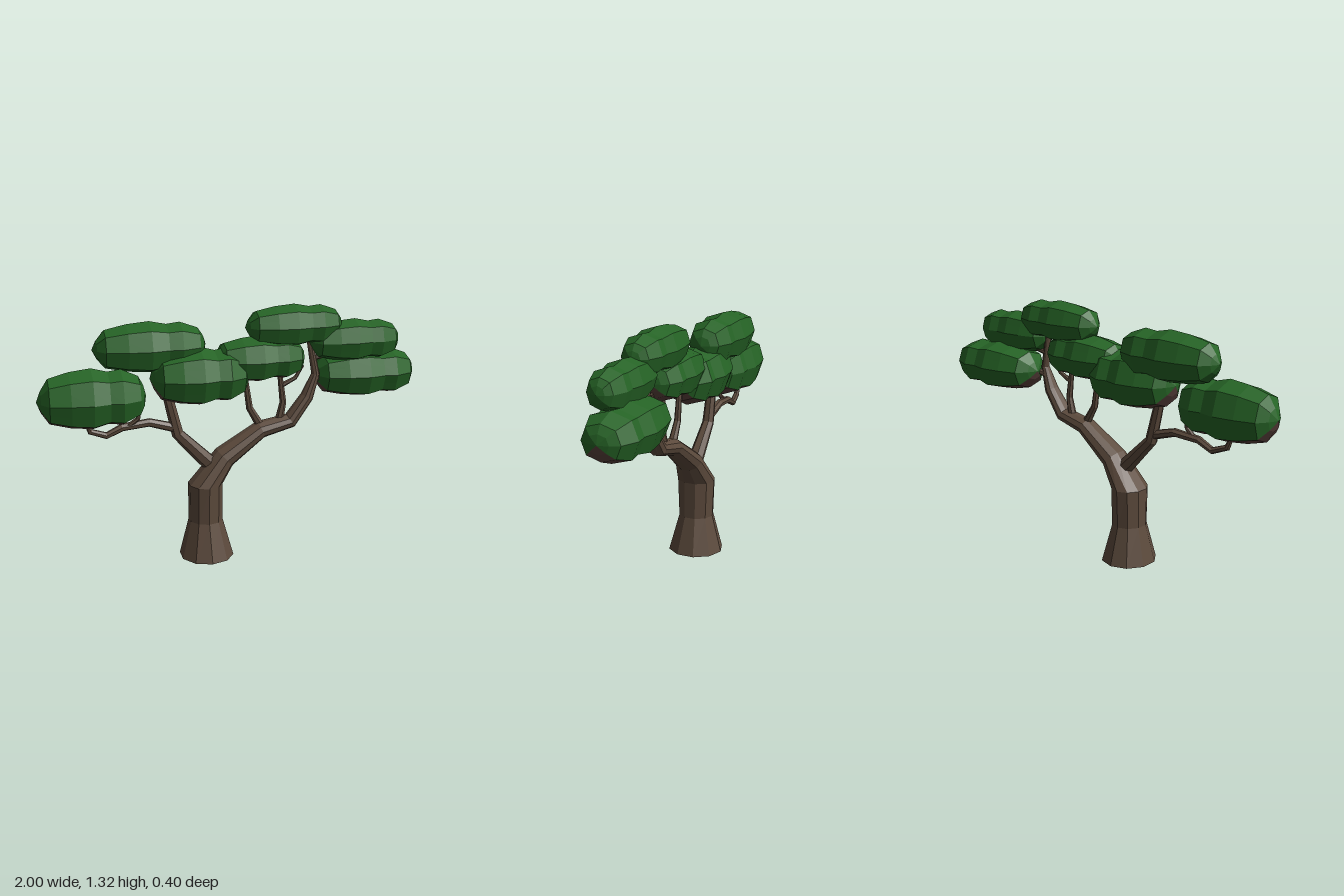
import * as THREE from 'three';

const mat = (name, color, side = THREE.FrontSide) =>
  Object.assign(new THREE.MeshStandardMaterial({ color, flatShading: true, side }), { name });

// Skin a list of equal-length closed rings; isUnder(j) sends strip j to the second material
function loft(rings, isUnder = () => false) {
  const n = rings[0].length, top = [], under = [];
  for (let i = 0; i < rings.length - 1; i++) {
    for (let j = 0; j < n; j++) {
      const k = (j + 1) % n;
      const a = i * n + j, b = i * n + k, c = a + n, d = b + n;
      (isUnder(j) ? under : top).push(a, c, b, b, c, d);
    }
  }
  const g = new THREE.BufferGeometry();
  g.setAttribute('position', new THREE.Float32BufferAttribute(rings.flat().flatMap((p) => [p.x, p.y, p.z]), 3));
  g.setIndex([...top, ...under]);
  g.addGroup(0, top.length, 0);
  if (under.length) g.addGroup(top.length, under.length, 1);
  g.computeVertexNormals();
  return g;
}

// Tapered limb through points [x, y, z, radius, depthRadius?]
function limb(points, sides, flatBelow = -1) {
  const c = points.map((p) => new THREE.Vector3(p[0], p[1], p[2]));
  const rings = points.map((p, i) => {
    const t = new THREE.Vector3();
    if (i > 0) t.add(c[i].clone().sub(c[i - 1]).normalize());
    if (i < c.length - 1) t.add(c[i + 1].clone().sub(c[i]).normalize());
    if (p[1] <= flatBelow) t.set(0, 1, 0);
    const across = new THREE.Vector3(t.y, -t.x, 0).normalize();
    return Array.from({ length: sides }, (_, j) => {
      const a = ((j + 0.5) / sides) * Math.PI * 2;
      return c[i].clone().addScaledVector(across, Math.cos(a) * p[3])
        .add(new THREE.Vector3(0, 0, Math.sin(a) * (p[4] ?? p[3])));
    });
  });
  // close the tip
  rings.push(rings[0].map(() => c[c.length - 1].clone()));
  return loft(rings);
}

// Leaf clump: lobed cross-sections strung along x
const PROFILE = [[0, 0], [0.04, 0.36], [0.11, 0.74], [0.3, 0.92], [0.5, 1],
  [0.65, 0.86], [0.77, 0.92], [0.93, 0.66], [0.975, 0.36], [1, 0]];
function clump(rx, ry, rz, brownBelow) {
  const soft = (v) => Math.sign(v) * Math.abs(v) ** 0.85;
  const rings = PROFILE.map(([u, r]) => Array.from({ length: 16 }, (_, j) => {
    const a = (j / 16) * Math.PI * 2, s = r * (j % 2 ? 0.92 : 1);
    return new THREE.Vector3((u * 2 - 1) * rx, soft(Math.sin(a)) * ry * s, soft(Math.cos(a)) * rz * s);
  }));
  return loft(rings, (j) => brownBelow && j >= 10 && j <= 13);
}

export function createModel() {
  const bark = mat('bark', 0x5c4a3c, THREE.DoubleSide);
  const leaf = mat('leaf green', 0x266426);
  const shade = mat('leaf underside brown', 0x5a423c);

  const tree = new THREE.Group();
  tree.name = 'tree';
  const add = (name, geometry, material) => {
    const m = new THREE.Mesh(geometry, material);
    m.name = name;
    tree.add(m);
    return m;
  };

  // Trunk sweeping over to the right-hand crown
  add('trunk', limb([
    [-0.15, 0, 0.015, 0.143, 0.15], [-0.153, 0.2, 0.013, 0.09, 0.095], [-0.153, 0.4, 0.013, 0.09, 0.104],
    [-0.05, 0.535, 0.012, 0.06, 0.076], [0.145, 0.67, 0.012, 0.045, 0.058], [0.305, 0.707, 0.012, 0.04, 0.05],
    [0.395, 0.83, 0.01, 0.034, 0.04], [0.44, 0.95, 0.01, 0.022], [0.405, 1.14, 0, 0.015]], 10, 0.4), bark);

  // Branches and twigs
  const branches = {
    leftBranch: [[-0.07, 0.45, 0.01, 0.045], [-0.17, 0.55, 0.01, 0.04], [-0.295, 0.68, 0.01, 0.032],
      [-0.335, 0.85, 0.01, 0.027], [-0.38, 1.05, 0, 0.02]],
    lowLeftBranch: [[-0.3, 0.71, 0.01, 0.025], [-0.44, 0.75, 0.01, 0.022], [-0.58, 0.737, 0.02, 0.02],
      [-0.66, 0.7, 0.02, 0.018], [-0.74, 0.73, 0.03, 0.016], [-0.77, 0.8, 0.03, 0.01]],
    lowLeftTwig: [[-0.56, 0.735, 0.02, 0.014], [-0.5, 0.78, 0.03, 0.012], [-0.49, 0.84, 0.03, 0.01]],
    middleBranch: [[0.15, 0.68, 0.01, 0.024], [0.085, 0.79, 0.01, 0.018], [0.06, 0.96, 0.01, 0.014]],
    innerBranch: [[0.24, 0.69, 0.01, 0.024], [0.265, 0.81, 0.01, 0.018], [0.245, 0.97, 0.01, 0.013]],
    innerTwig: [[0.26, 0.9, 0.01, 0.013], [0.33, 0.935, 0.01, 0.011], [0.37, 1.0, 0.01, 0.008]],
    lowRightTwig: [[0.425, 0.91, 0, 0.018], [0.49, 0.935, -0.02, 0.014], [0.58, 0.94, -0.04, 0.01]],
    highRightTwig: [[0.42, 1.03, 0, 0.014], [0.5, 1.045, 0, 0.012], [0.57, 1.09, 0, 0.01]],
  };
  for (const [name, pts] of Object.entries(branches)) add(name, limb(pts, 7), bark);

  // Leaf clumps: centre, half-sizes, brown underside
  const clumps = {
    farLeftLeaves: [-0.73, 0.905, 0.052, 0.27, 0.155, 0.145, true],
    upperLeftLeaves: [-0.427, 1.135, -0.015, 0.287, 0.13, 0.13, false],
    centreLeaves: [-0.18, 0.98, 0.02, 0.255, 0.15, 0.16, true],
    innerLeaves: [0.135, 1.05, 0.01, 0.24, 0.12, 0.13, true],
    topLeaves: [0.318, 1.212, 0.005, 0.257, 0.11, 0.112, false],
    upperRightLeaves: [0.645, 1.12, 0.01, 0.245, 0.112, 0.105, false],
    farRightLeaves: [0.72, 0.933, -0.05, 0.28, 0.132, 0.152, true],
  };
  for (const [name, [x, y, z, rx, ry, rz, brown]] of Object.entries(clumps)) {
    add(name, clump(rx, ry, rz, brown), [leaf, shade]).position.set(x, y, z);
  }
  return tree;
}
